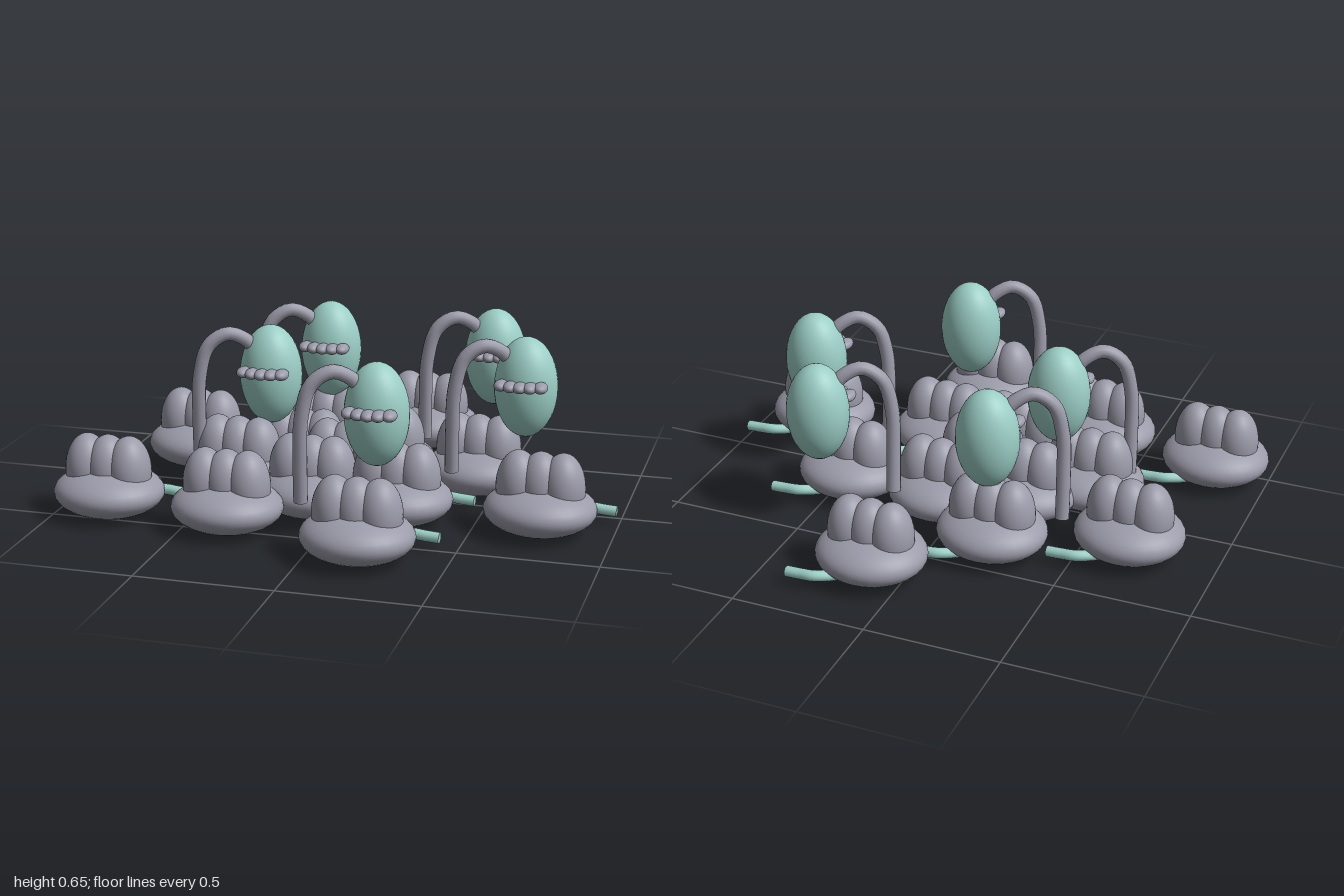
import * as THREE from 'three';

const grey = new THREE.MeshStandardMaterial({ color: 0x9c9baa });
grey.name = 'stone grey';
const teal = new THREE.MeshStandardMaterial({ color: 0x9ccec6 });
teal.name = 'pale teal';

const ball = new THREE.SphereGeometry(1, 32, 20);

function ellipsoid(name, material, [x, y, z], [rx, ry, rz]) {
  const mesh = new THREE.Mesh(ball, material);
  mesh.name = name;
  mesh.position.set(x, y, z);
  mesh.scale.set(rx, ry, rz);
  return mesh;
}

// Round tube along a smooth path, closed by a flat disc at each end
function tube(name, material, points, radius) {
  const curve = new THREE.CatmullRomCurve3(points.map((p) => new THREE.Vector3(...p)));
  const group = new THREE.Group();
  group.name = name;
  group.add(new THREE.Mesh(new THREE.TubeGeometry(curve, 32, radius, 12), material));
  for (const t of [0, 1]) {
    const cap = new THREE.Mesh(new THREE.CircleGeometry(radius, 12), material);
    cap.position.copy(curve.getPoint(t));
    const outward = curve.getTangent(t).multiplyScalar(t ? 1 : -1);
    cap.quaternion.setFromUnitVectors(new THREE.Vector3(0, 0, 1), outward);
    group.add(cap);
  }
  return group;
}

// Flattened body with three lobes on top and a curved tail underneath
function createBody() {
  const body = new THREE.Group();
  body.name = 'lobedBody';
  body.add(ellipsoid('base', grey, [0, 0.1, 0], [0.203, 0.092, 0.185]));
  for (const x of [-0.08, 0, 0.08]) {
    body.add(ellipsoid('lobe', grey, [x, 0.18, 0], [0.08, 0.13, 0.086]));
  }
  body.add(tube('tail', teal, [
    [0.04, 0.055, -0.09], [0.09, 0.058, -0.135], [0.145, 0.062, -0.168], [0.2, 0.058, -0.168], [0.25, 0.055, -0.166],
  ], 0.02));
  return body;
}

// Egg hanging from an arched stem, with a row of small beads on its front
function createEgg() {
  const egg = new THREE.Group();
  egg.name = 'hangingEgg';
  egg.add(ellipsoid('egg', teal, [0, 0.465, 0], [0.116, 0.186, 0.108]));
  egg.add(tube('archedStem', grey, [
    [-0.252, 0.15, 0.085], [-0.248, 0.3, 0.102], [-0.238, 0.47, 0.115], [-0.205, 0.585, 0.105],
    [-0.14, 0.628, 0.08], [-0.085, 0.605, 0.05], [-0.03, 0.54, 0.02],
  ], 0.026));
  for (let i = -2; i <= 2; i++) {
    const z = 0.118 - 0.004 * i * i;
    egg.add(ellipsoid('bead', grey, [i * 0.036, 0.493, z], [0.026, 0.02, 0.04]));
  }
  return egg;
}

// Ground positions (x, z)
const bodySpots = [
  [0.12, -0.67], [-0.215, -0.37], [-0.675, -0.2], [0.06, -0.18], [0.435, -0.16],
  [-0.22, -0.065], [-0.42, 0.1], [-0.015, 0.04], [0.74, 0.225], [-0.09, 0.25],
  [0.225, 0.25], [-0.8, 0.445], [-0.335, 0.49], [0.19, 0.66],
];
const eggSpots = [[-0.195, -0.365], [0.44, -0.415], [0.63, -0.04], [-0.31, 0.04], [0.197, 0.43]];

export function createModel() {
  const model = new THREE.Group();
  model.name = 'cluster';
  const scatter = (make, spots) => {
    for (const [x, z] of spots) {
      const part = make();
      part.position.set(x, -0.008, z);
      model.add(part);
    }
  };
  scatter(createBody, bodySpots);
  scatter(createEgg, eggSpots);
  return model;
}
